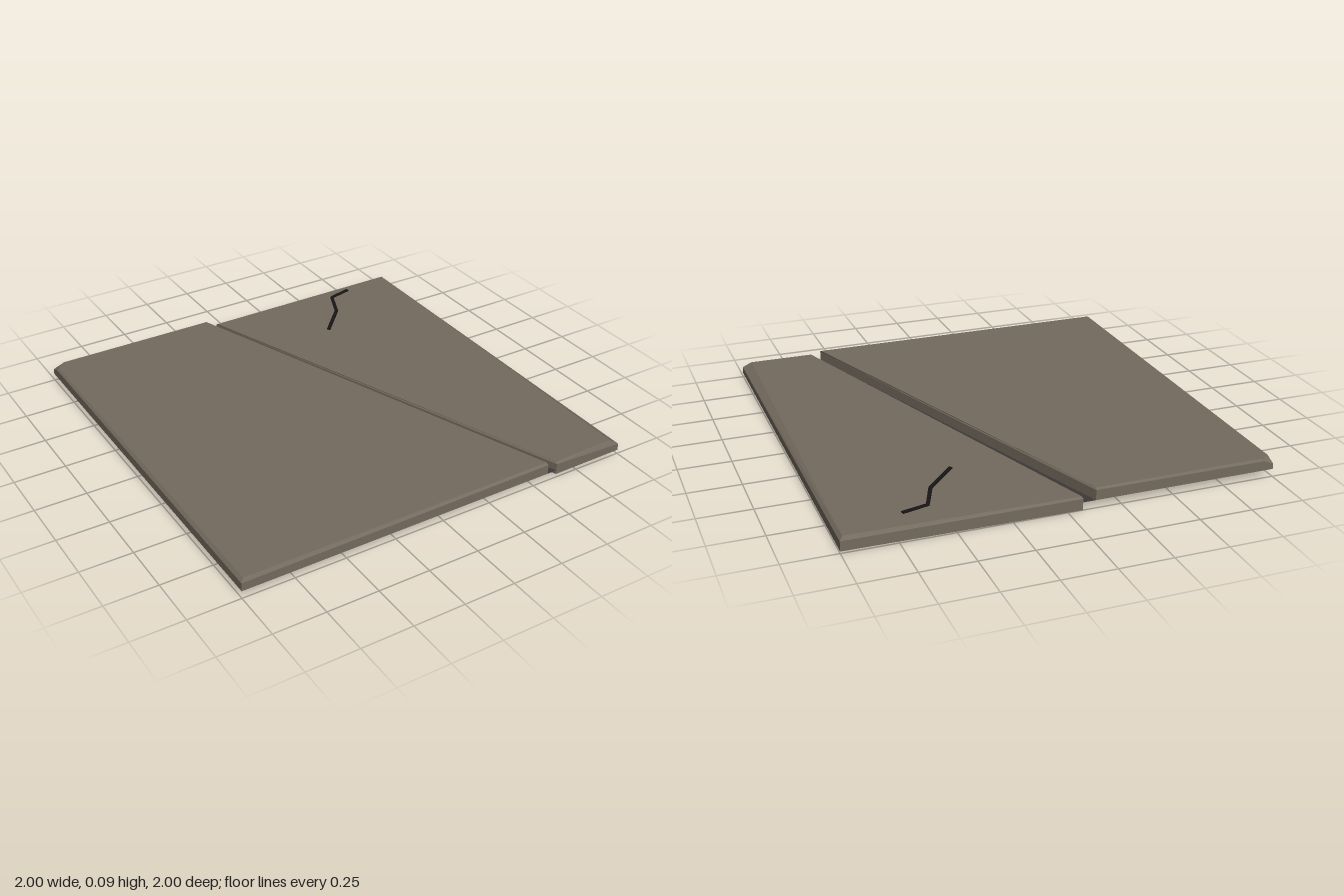
import * as THREE from 'three';

const stone = new THREE.MeshStandardMaterial({ color: 0x746a5e });
stone.name = 'stone';
const dark = new THREE.MeshStandardMaterial({ color: 0x3d3838 });
dark.name = 'dark stone';
const black = new THREE.MeshStandardMaterial({ color: 0x171515 });
black.name = 'crack black';

// Slab from an outline (counter-clockwise from above).
// Each point: [x, z, top x, top z, drop of the worn edge below the top]
function slab(name, outline, base, height) {
  const low = outline.map(([x, z]) => [x, base(x, z), z]);
  const mid = outline.map(([x, z, , , drop]) => [x, base(x, z) + height - drop, z]);
  const top = outline.map(([, , x, z]) => [x, base(x, z) + height, z]);
  const n = outline.length;
  const pos = [];
  const tri = (a, b, c) => pos.push(...a, ...b, ...c);
  for (let i = 0; i < n; i++) {
    const j = (i + 1) % n;
    for (const [a, b] of [[low, mid], [mid, top]]) {
      tri(a[i], a[j], b[j]);
      tri(a[i], b[j], b[i]);
    }
  }
  for (let i = 1; i < n - 1; i++) tri(top[0], top[i], top[i + 1]);
  const split = pos.length / 3;
  for (let i = 1; i < n - 1; i++) tri(low[0], low[i + 1], low[i]);
  const geo = new THREE.BufferGeometry();
  geo.setAttribute('position', new THREE.Float32BufferAttribute(pos, 3));
  geo.addGroup(0, split, 0);
  geo.addGroup(split, pos.length / 3 - split, 1);
  geo.computeVertexNormals();
  const mesh = new THREE.Mesh(geo, [stone, dark]);
  mesh.name = name;
  return mesh;
}

export function createModel() {
  const model = new THREE.Group();
  model.name = 'crackedSlab';

  // Large raised piece with one chipped corner
  model.add(slab('largePiece', [
    [-0.95, -1, -0.95, -0.99, 0.01],
    [-1, -1, -0.972, -0.972, 0.03],
    [-1, -0.95, -0.99, -0.95, 0.01],
    [-1, 1, -0.985, 0.988, 0.015],
    [0.58, 1, 0.577, 0.988, 0.008],
    [-0.13, -1, -0.133, -0.99, 0.008],
  ], () => 0.037, 0.056));

  // Smaller sunken piece, slightly tilted, worn along its outer edge
  const tilt = (x, z) => 0.0084 * (x + 0.07) + 0.0055 * (z + 1);
  model.add(slab('smallPiece', [
    [-0.07, -1, -0.067, -0.99, 0.008],
    [0.63, 1, 0.633, 0.99, 0.008],
    [1, 1, 0.955, 0.985, 0.028],
    [1, -1, 0.985, -0.985, 0.015],
  ], tilt, 0.062));

  // Dark floor of the split
  const floorGeo = new THREE.BufferGeometry();
  const y = 0.037;
  floorGeo.setAttribute('position', new THREE.Float32BufferAttribute(
    [-0.13, y, -1, 0.58, y, 1, 0.63, y, 1, -0.07, y, -1], 3));
  floorGeo.setIndex([0, 1, 2, 0, 2, 3]);
  floorGeo.computeVertexNormals();
  const floor = new THREE.Mesh(floorGeo, dark);
  floor.name = 'splitFloor';
  model.add(floor);

  // Thin jagged crack above the small piece, with mitred corners
  const path = [[0.385, -0.585], [0.53, -0.74], [0.59, -0.885], [0.71, -0.915]]
    .map(([x, z]) => new THREE.Vector2(x, -z));
  const left = [], right = [];
  path.forEach((p, i) => {
    const dirIn = p.clone().sub(path[Math.max(i - 1, 0)]).normalize();
    const dirOut = path[Math.min(i + 1, path.length - 1)].clone().sub(p).normalize();
    const dir = dirIn.add(dirOut).normalize();
    const side = new THREE.Vector2(-dir.y, dir.x).multiplyScalar(0.009);
    left.push(p.clone().add(side));
    right.unshift(p.clone().sub(side));
  });
  const crackGeo = new THREE.ExtrudeGeometry(new THREE.Shape([...left, ...right]),
    { depth: 0.006, bevelEnabled: false });
  crackGeo.rotateX(-Math.PI / 2);
  const crack = new THREE.Mesh(crackGeo, black);
  crack.name = 'surfaceCrack';
  crack.position.y = 0.088;
  model.add(crack);

  return model;
}
